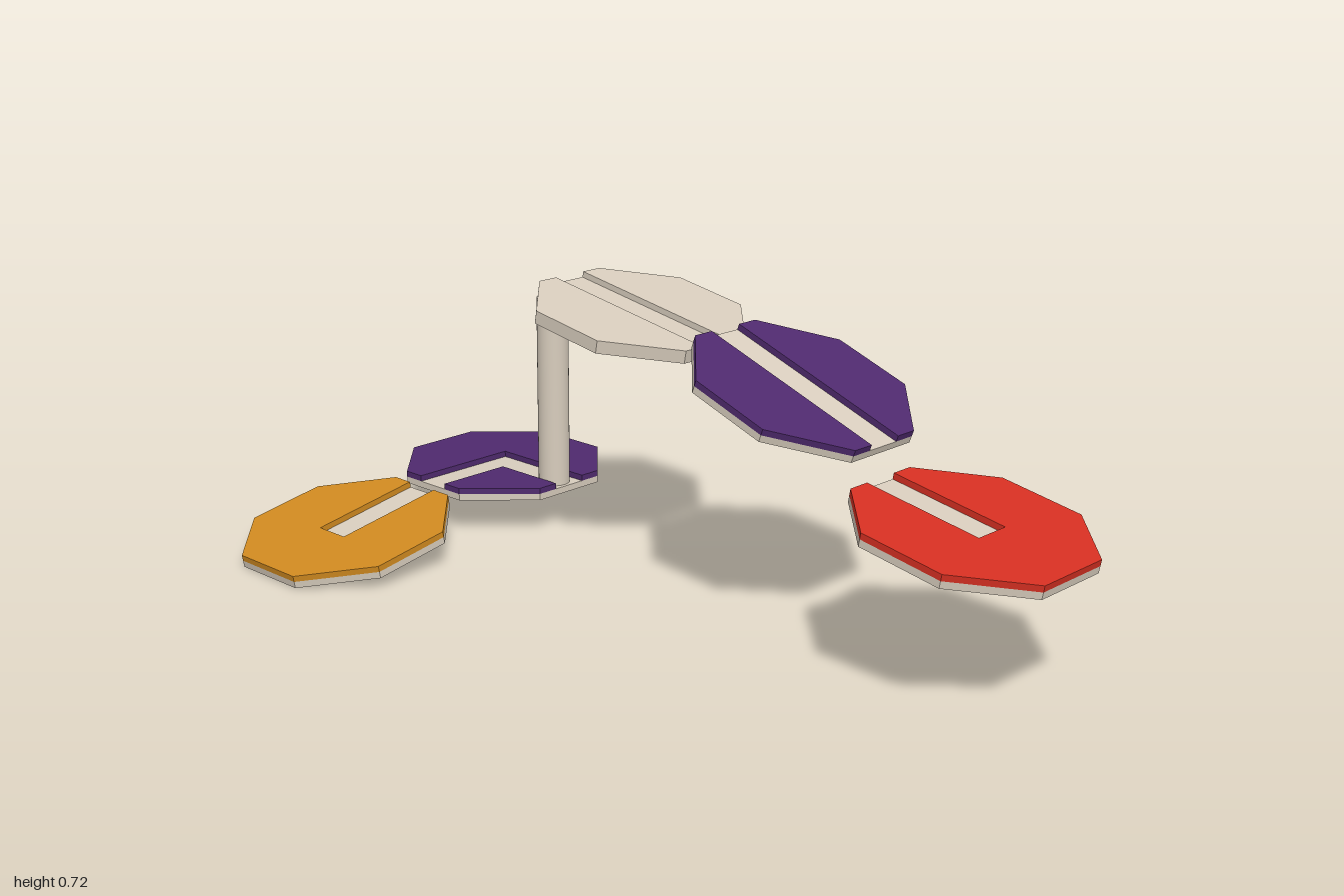
import * as THREE from 'three';

const A = 0.266;                          // octagon apothem
const S = A * Math.tan(Math.PI / 8);      // half side
const W = 0.05;                           // half groove width
const FLOOR = 0.018, RIM = 0.016;         // layer thicknesses
const HALF = (FLOOR + RIM) / 2;

const material = (color) => new THREE.MeshStandardMaterial({ color });
const beige = material(0xd8cdbd);
const purple = material(0x4f2a6e);
const red = material(0xd63022);
const orange = material(0xd08a20);

const octagon = [[A, S], [S, A], [-S, A], [-A, S], [-A, -S], [-S, -A], [S, -A], [A, -S]];
const sidePiece = [[A, W], [A, S], [S, A], [-S, A], [-A, S], [-A, W]];

// Outlines of the raised layer, leaving the groove free (local +x is downhill)
const grooves = {
  straight: [sidePiece, sidePiece.map(([x, y]) => [x, -y])],
  deadEnd: [[[-A, W], [W, W], [W, -W], [-A, -W], [-A, -S], [-S, -A],
    [S, -A], [A, -S], [A, S], [S, A], [-S, A], [-A, S]]],
  corner: [
    [[-W, W], [A, W], [A, S], [S, A], [-S, A], [-A, S], [-A, -S], [-S, -A], [-W, -A]],
    [[W, -W], [A, -W], [A, -S], [S, -A], [W, -A]],
  ],
};

// Horizontal slab from a plan outline
function slab(points, y, depth, mat, name) {
  const shape = new THREE.Shape(points.map(([x, z]) => new THREE.Vector2(x, z)));
  const geo = new THREE.ExtrudeGeometry(shape, { depth, bevelEnabled: false });
  geo.rotateX(-Math.PI / 2).translate(0, y, 0);
  const mesh = new THREE.Mesh(geo, mat);
  mesh.name = name;
  return mesh;
}

// Octagonal tile: beige floor with a coloured grooved layer on top
function tile({ name, at, heading, tilt, groove, mat }) {
  const group = new THREE.Group();
  group.name = name;
  group.add(slab(octagon, -HALF, FLOOR, beige, 'tileFloor'));
  for (const outline of grooves[groove]) {
    group.add(slab(outline, FLOOR - HALF, RIM, mat, 'grooveSide'));
  }
  group.position.set(...at);
  group.rotation.set(0, -THREE.MathUtils.degToRad(heading), -THREE.MathUtils.degToRad(tilt));
  return group;
}

export function createModel() {
  const model = new THREE.Group();
  model.name = 'tileTrack';

  const tiles = [
    { name: 'baseTile', at: [-0.312, 0.117, -0.68], heading: 48, tilt: 0, groove: 'corner', mat: purple },
    { name: 'lowerEndTile', at: [-0.732, 0.065, -0.295], heading: 138, tilt: 10, groove: 'deadEnd', mat: orange },
    { name: 'upperTile', at: [0.044, 0.661, -0.235], heading: 48, tilt: 10, groove: 'straight', mat: beige },
    { name: 'steepTile', at: [0.40, 0.581, 0.21], heading: 48, tilt: 20, groove: 'straight', mat: purple },
    { name: 'upperEndTile', at: [0.722, 0.378, 0.67], heading: 48, tilt: 10, groove: 'deadEnd', mat: red },
  ];
  for (const t of tiles) model.add(tile(t));

  // Column standing in the groove of the base tile
  const bottom = 0.117 - HALF + FLOOR, top = 0.642;
  const column = new THREE.Mesh(new THREE.CylinderGeometry(0.043, 0.043, top - bottom, 32), beige);
  column.name = 'column';
  column.position.set(-0.174, (top + bottom) / 2, -0.518);
  model.add(column);

  return model;
}
